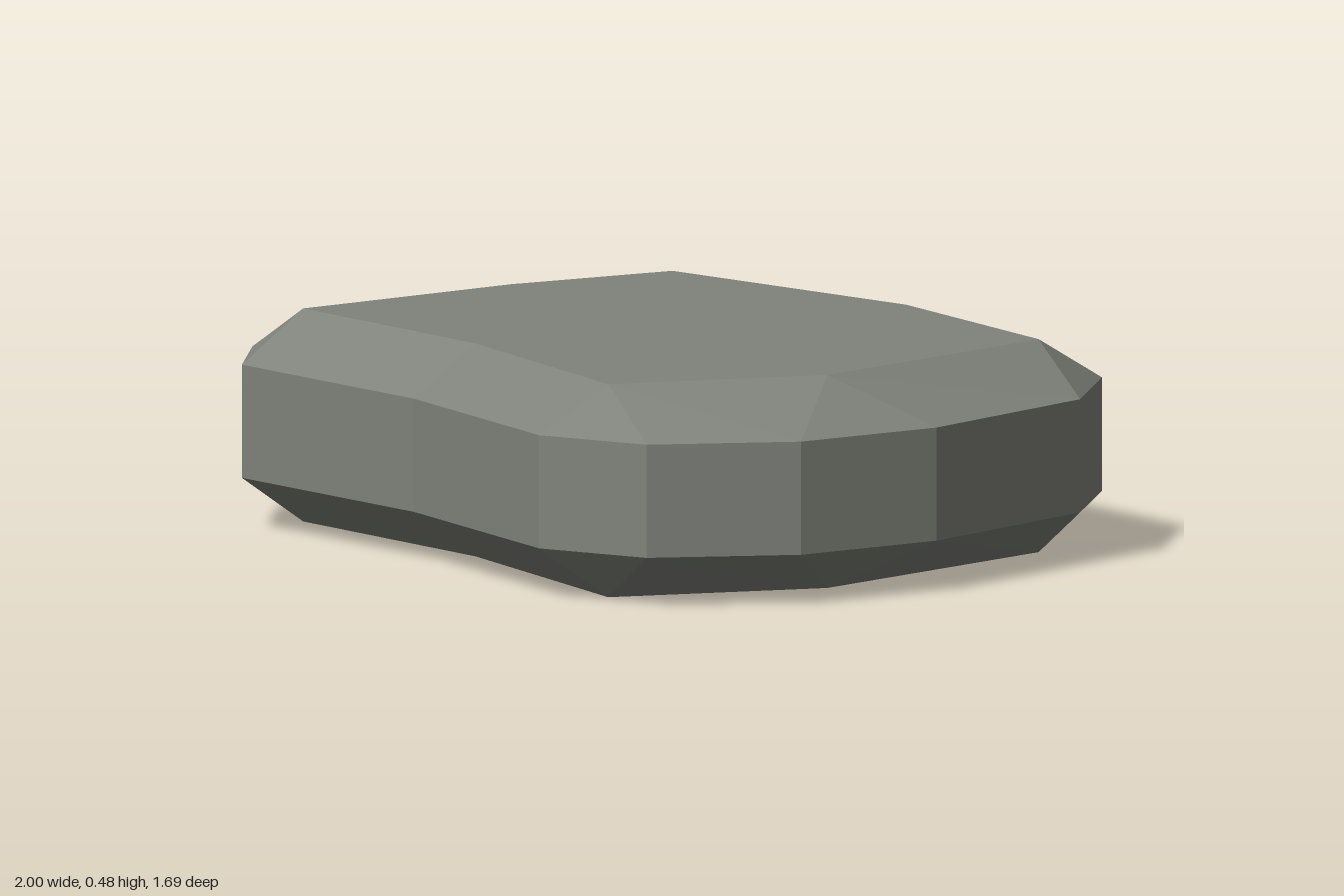
import * as THREE from 'three';

// Stone plan at its widest, as [x, z, index of the cap corner it slopes to]
const RIM = [
  [-0.82, -0.74, 0], [-0.55, -0.85, 0], [0.2, -0.83, 1], [0.73, -0.69, 2],
  [0.93, -0.4, 2], [1, 0.15, 3], [0.93, 0.52, 3], [0.71, 0.79, 4],
  [0.43, 0.84, 4], [-0.17, 0.6, 5], [-0.82, 0.46, 6], [-1, 0.23, 6], [-0.92, -0.37, 7],
];

// Corners of the flat top and bottom faces
const CAP = [
  [-0.6, -0.72], [0.15, -0.675], [0.74, -0.47], [0.78, 0.27],
  [0.52, 0.71], [-0.14, 0.43], [-0.8, 0.28], [-0.72, -0.32],
];

const BASE = 0, LOW = 0.115, HIGH = 0.37, TOP = 0.48;

function stoneGeometry() {
  const pos = [];
  const tri = (a, b, c) => {
    const area = new THREE.Triangle(a, b, c).getArea();
    if (area > 1e-6) for (const p of [a, b, c]) pos.push(p.x, p.y, p.z);
  };
  const rimRing = (y) => RIM.map(([x, z]) => new THREE.Vector3(x, y, z));
  const capRing = (y) => RIM.map(([, , i]) => new THREE.Vector3(CAP[i][0], y, CAP[i][1]));

  // Lower bevel, upright side, upper bevel
  const rings = [capRing(BASE), rimRing(LOW), rimRing(HIGH), capRing(TOP)];
  for (let r = 0; r < 3; r++) {
    for (let i = 0; i < RIM.length; i++) {
      const j = (i + 1) % RIM.length;
      const [lo, hi] = [rings[r], rings[r + 1]];
      tri(lo[i], hi[i], hi[j]);
      tri(lo[i], hi[j], lo[j]);
    }
  }

  // Flat top and bottom
  const outline = CAP.map(([x, z]) => new THREE.Vector2(x, z));
  for (const face of THREE.ShapeUtils.triangulateShape(outline, [])) {
    const [a, b, c] = face.map((i) => outline[i]);
    const turn = b.clone().sub(a).cross(c.clone().sub(a));
    const order = turn > 0 ? [a, b, c] : [a, c, b];
    const at = (y) => order.map((p) => new THREE.Vector3(p.x, y, p.y));
    tri(...at(BASE));
    tri(...at(TOP).reverse());
  }

  const geometry = new THREE.BufferGeometry();
  geometry.setAttribute('position', new THREE.Float32BufferAttribute(pos, 3));
  geometry.computeVertexNormals();
  return geometry;
}

export function createModel() {
  const group = new THREE.Group();
  group.name = 'flatStone';
  const stoneGrey = new THREE.MeshStandardMaterial({ color: 0x80837b });
  stoneGrey.name = 'stoneGrey';
  const stone = new THREE.Mesh(stoneGeometry(), stoneGrey);
  stone.name = 'stone';
  group.add(stone);
  return group;
}
